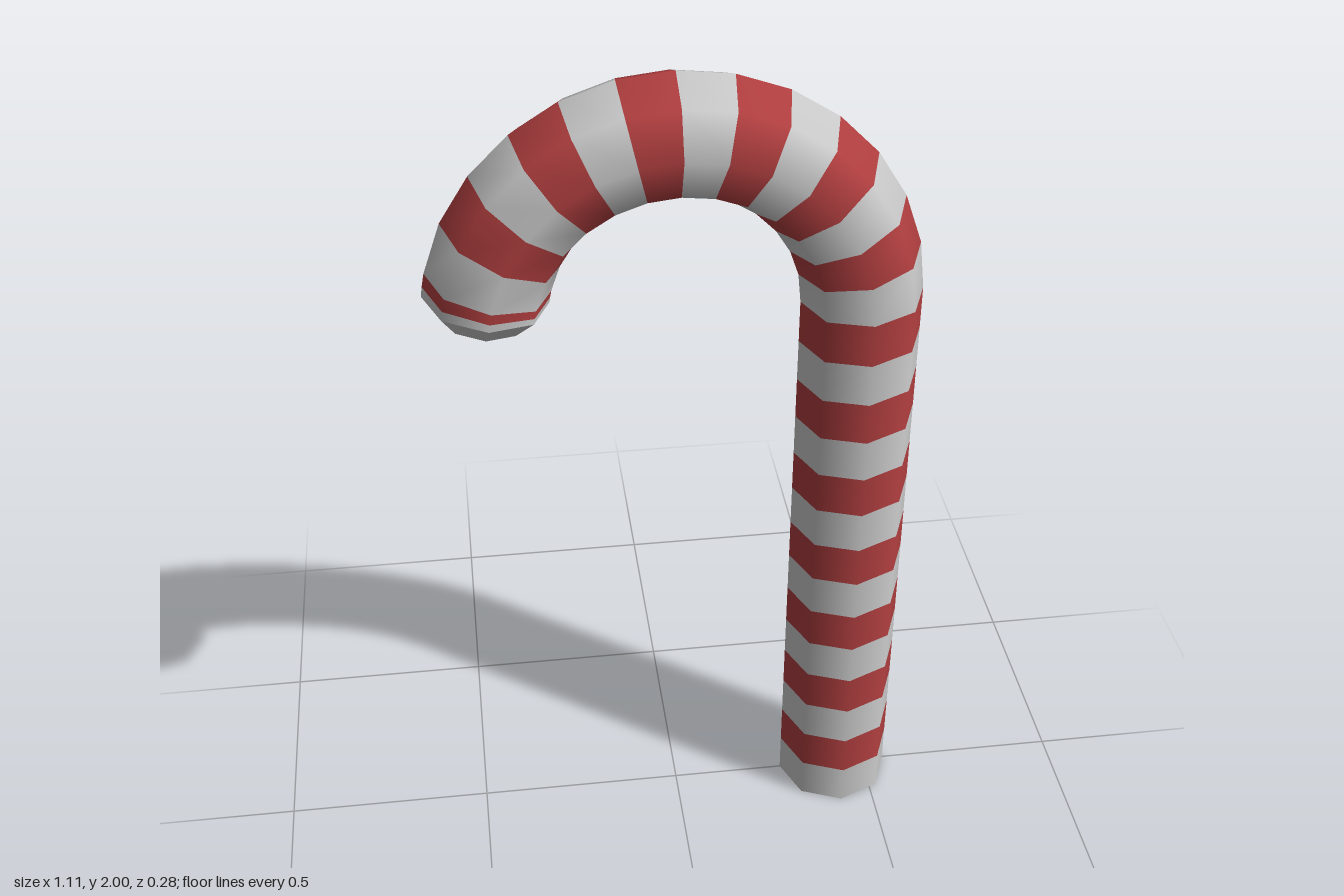
import * as THREE from 'three';
import { mergeGeometries } from 'three/addons/utils/BufferGeometryUtils.js';

const SIDES = 8;
const TUBE = 0.139;   // tube radius
const BEND = 0.418;   // radius of the hook's centre line
const BEND_Y = 1.443; // height at which the hook begins
const deg = THREE.MathUtils.degToRad;

// A cross-section: centre, tilt about z and radius
const section = (x, y, tilt, r = TUBE) => ({ x, y, tilt, r });
const hookSection = (a) => section(BEND * Math.cos(a), BEND_Y + BEND * Math.sin(a), a);

// Eight-sided band between two sections; lean tips the normals along the path
function band(a, b, lean = 0) {
  const position = [], normal = [], index = [];
  for (const s of [a, b]) {
    const c = Math.cos(s.tilt), n = Math.sin(s.tilt);
    for (let j = 0; j <= SIDES; j++) {
      const phi = (j / SIDES) * Math.PI * 2;
      const u = Math.cos(phi), w = Math.sin(phi);
      position.push(s.x + s.r * u * c, s.y + s.r * u * n, s.r * w);
      const v = new THREE.Vector3(u * c - lean * n, u * n + lean * c, w).normalize();
      normal.push(v.x, v.y, v.z);
    }
  }
  for (let j = 0; j < SIDES; j++) {
    const k = j + SIDES + 1;
    index.push(j, k, j + 1);
    if (b.r > 0) index.push(k, k + 1, j + 1);
  }
  const g = new THREE.BufferGeometry();
  g.setAttribute('position', new THREE.Float32BufferAttribute(position, 3));
  g.setAttribute('normal', new THREE.Float32BufferAttribute(normal, 3));
  g.setIndex(index);
  return g;
}

export function createModel() {
  const model = new THREE.Group();
  model.name = 'candyCane';
  const white = new THREE.MeshStandardMaterial({ color: 0xcccccc, side: THREE.DoubleSide });
  const red = new THREE.MeshStandardMaterial({ color: 0xb23f40, side: THREE.DoubleSide });
  const add = (name, geometry, material) => {
    const mesh = new THREE.Mesh(geometry, material);
    mesh.name = name;
    model.add(mesh);
  };

  // Straight stem: fourteen stripes whose edges tilt a little more towards the top
  const sections = [];
  for (let i = 0; i <= 14; i++) {
    sections.push(section(BEND, (BEND_Y * i) / 14, deg(3.3) * (i / 14)));
  }
  // Hook: stripes around the bend, then a narrow pair at the tip
  for (let i = 1; i <= 13; i++) sections.push(hookSection(deg((90 / 7) * i)));
  const end = hookSection(deg(173));
  sections.push(hookSection(deg(170.5)), end);

  const whiteBands = [], redBands = [];
  for (let i = 0; i < sections.length - 1; i++) {
    (i % 2 ? redBands : whiteBands).push(band(sections[i], sections[i + 1]));
  }
  add('whiteStripes', mergeGeometries(whiteBands), white);
  add('redStripes', mergeGeometries(redBands), red);

  // Bevelled, closed tip; the foot of the stem stays open
  const tip = section(end.x - 0.05 * Math.sin(end.tilt), end.y + 0.05 * Math.cos(end.tilt), end.tilt, 0.092);
  add('tipBevel', band(end, tip, 0.9), white);
  add('tipCap', band(tip, { ...tip, r: 0 }, 50), white);

  return model;
}
